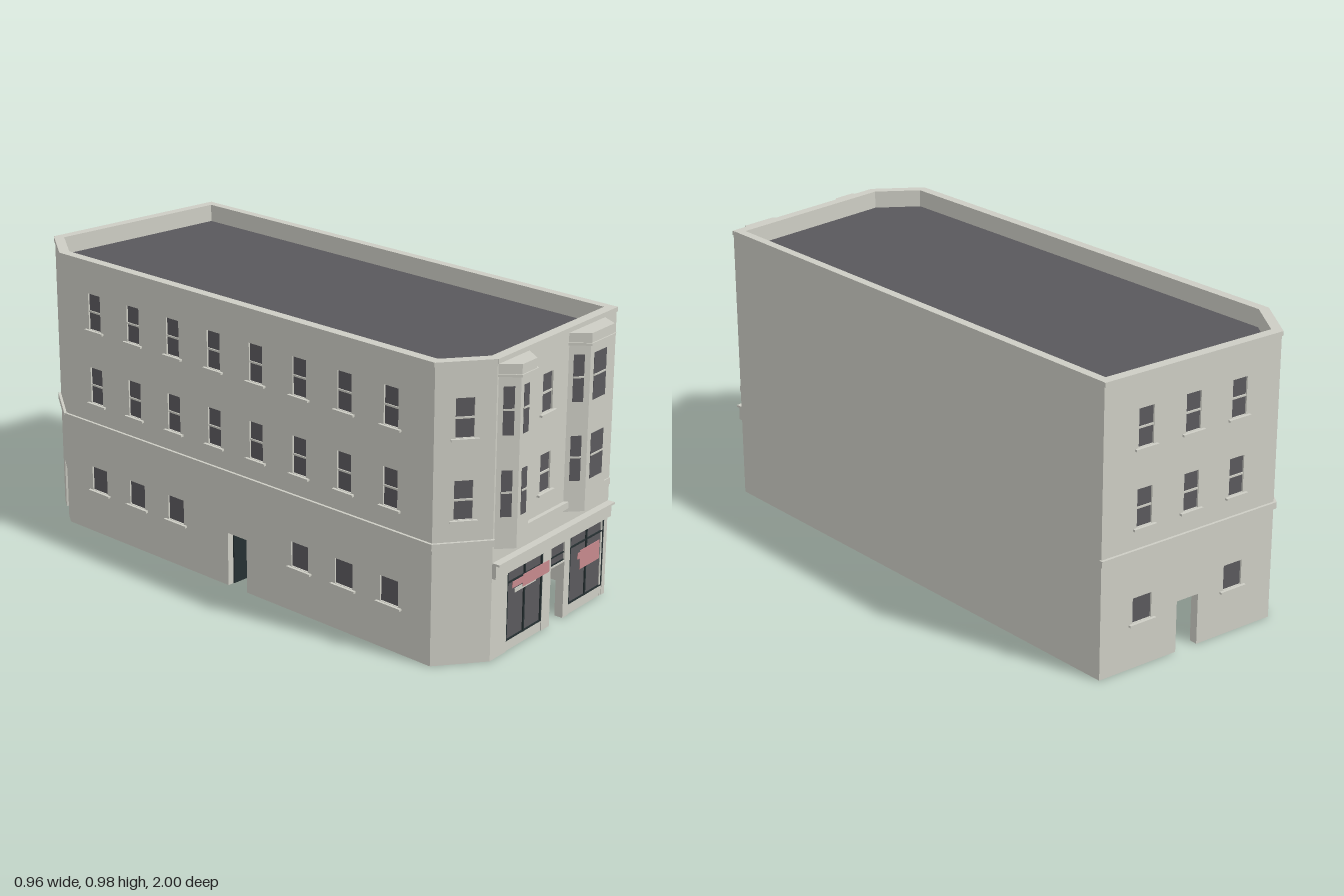
import * as THREE from 'three';

const mat = (name, color) => Object.assign(new THREE.MeshStandardMaterial({ color }), { name });

export function createModel() {
  const stone = mat('pale stone', 0xcdcdc4);
  const glass = mat('dark glass', 0x5a595d);
  const roofing = mat('dark roofing', 0x59585c);
  const frameMat = mat('shopfront frame', 0x263032);
  const pink = mat('pink sign', 0xc6898d);

  const model = new THREE.Group();
  model.name = 'cornerBuilding';
  const H = 0.975, SKIN = 0.01, CORE = 0.02;

  // footprint corners as [x, z]
  const A = [-0.205, -0.99], B = [0.477, -0.873], C = [0.318, 0.94];
  const D = [-0.33, 0.94], E = [-0.472, 0.818], F = [-0.335, -0.835];

  function add(parent, name, geometry, material) {
    const m = new THREE.Mesh(geometry, material);
    m.name = name;
    parent.add(m);
    return m;
  }
  // box given by its x and y ranges and its z range
  function slab(parent, name, material, x0, x1, y0, y1, z0, z1) {
    const m = add(parent, name, new THREE.BoxGeometry(x1 - x0, y1 - y0, z1 - z0), material);
    m.position.set((x0 + x1) / 2, (y0 + y1) / 2, (z0 + z1) / 2);
    return m;
  }
  // upright frame: local x runs P to Q as seen from outside, local z points outward
  function face(name, P, Q, parent = model) {
    const g = new THREE.Group();
    g.name = name;
    const dx = Q[0] - P[0], dz = Q[1] - P[1];
    g.position.set(P[0], 0, P[1]);
    g.rotation.y = Math.atan2(-dz, dx);
    g.userData.length = Math.hypot(dx, dz);
    parent.add(g);
    return g;
  }
  // horizontal polygon extruded upward
  function prism(parent, name, material, points, y0, y1) {
    const s = new THREE.Shape(points.map(([x, z]) => new THREE.Vector2(x, -z)));
    const geo = new THREE.ExtrudeGeometry(s, { depth: y1 - y0, bevelEnabled: false });
    geo.rotateX(-Math.PI / 2).translate(0, y0, 0);
    return add(parent, name, geo, material);
  }
  // one wall layer; openings are [x0, x1, y0, y1], those at ground level become notches
  function layer(g, name, openings, z0, depth) {
    const L = g.userData.length;
    const s = new THREE.Shape();
    s.moveTo(0, 0);
    openings.filter(o => o[2] === 0).sort((a, b) => a[0] - b[0]).forEach(([x0, x1, , y1]) => {
      s.lineTo(x0, 0); s.lineTo(x0, y1); s.lineTo(x1, y1); s.lineTo(x1, 0);
    });
    s.lineTo(L, 0); s.lineTo(L, H); s.lineTo(0, H);
    openings.filter(o => o[2] > 0).forEach(([x0, x1, y0, y1]) => {
      const h = new THREE.Path();
      h.moveTo(x0, y0); h.lineTo(x0, y1); h.lineTo(x1, y1); h.lineTo(x1, y0); h.closePath();
      s.holes.push(h);
    });
    add(g, name, new THREE.ExtrudeGeometry(s, { depth, bevelEnabled: false }), stone).position.z = z0;
  }
  // full wall with recessed windows and open doorways
  function wall(name, P, Q, { windows = [], doors = [], shops = [], coping = true, course = true } = {}) {
    const g = face(name, P, Q), L = g.userData.length;
    layer(g, 'outerSkin', [...windows, ...doors, ...shops], -SKIN, SKIN);
    layer(g, 'innerWall', doors, -SKIN - CORE, CORE);
    windows.forEach(([x0, x1, y0, y1]) => {
      slab(g, 'windowGlass', glass, x0, x1, y0, y1, -SKIN, -0.006);
      slab(g, 'windowSill', stone, x0 - 0.014, x1 + 0.014, y0 - 0.008, y0 - 0.001, -0.004, 0.01);
      if (y0 > 0.4) {
        const m = (y0 + y1) / 2;
        slab(g, 'sashRail', stone, x0, x1, m - 0.003, m + 0.003, -0.006, -0.002);
      }
    });
    doors.forEach(([x0, , , y1]) =>
      slab(g, 'openDoorLeaf', frameMat, x0 + 0.003, x0 + 0.008, 0.003, y1 - 0.003, -0.095, -0.02));
    if (coping) slab(g, 'coping', stone, -0.001, L + 0.001, 0.96, H, -0.005, 0.004);
    if (course) slab(g, 'stringCourse', stone, -0.004, L + 0.004, 0.383, 0.405, -0.005, 0.009);
    return g;
  }
  const pair = (u, w = 0.058) => [[0.475, 0.6], [0.735, 0.86]].map(([a, b]) => [u - w / 2, u + w / 2, a, b]);
  const small = u => [u - 0.037, u + 0.037, 0.155, 0.24];
  const door = (u, h = 0.175) => [u - 0.043, u + 0.043, 0, h];

  // side, back and corner walls
  wall('rightWall', C, B, { coping: false, course: false });
  const backL = Math.hypot(B[0] - A[0], B[1] - A[1]);
  wall('backWall', B, A, {
    windows: [...[0.235, 0.5, 0.765].flatMap(t => pair(t * backL)), small(0.235 * backL), small(0.765 * backL)],
    doors: [door(0.5 * backL)],
  });
  wall('backCornerWall', A, F, { doors: [door(0.1)] });
  const leftL = Math.hypot(E[0] - F[0], E[1] - F[1]);
  const bayAt = i => (0.098 + 0.1143 * i) * leftL;
  wall('leftWall', F, E, {
    windows: [0, 1, 2, 3, 4, 5, 6, 7].flatMap(i => pair(bayAt(i)))
      .concat([0, 1, 2, 5, 6, 7].map(i => small(bayAt(i)))),
    doors: [door(0.5 * leftL, 0.185)],
  });
  wall('frontCornerWall', E, D, { windows: pair(0.0935) });

  // front wall, measured from its left end
  const X = x => x - D[0];
  const shopSpans = [[-0.245, -0.05], [0.103, 0.3]];
  const front = wall('frontWall', D, C, {
    windows: pair(X(-0.058), 0.055),
    doors: [[X(-0.005), X(0.072), 0, 0.195]],
    shops: [...shopSpans.map(([a, b]) => [X(a), X(b), 0, 0.273]), [X(-0.005), X(0.072), 0.2, 0.273]],
    course: false,
  });

  // shop windows with frames
  shopSpans.forEach(([a, b]) => {
    const x0 = X(a), x1 = X(b), m = (x0 + x1) / 2;
    slab(front, 'shopGlass', glass, x0, x1, 0.035, 0.273, -SKIN, -0.006);
    slab(front, 'stallRiser', stone, x0, x1, 0, 0.034, -SKIN, -0.003);
    [x0 + 0.003, m, x1 - 0.003].forEach(x =>
      slab(front, 'shopMullion', frameMat, x - 0.003, x + 0.003, 0.034, 0.273, -0.007, -0.001));
    [0.036, 0.228, 0.271].forEach(y =>
      slab(front, 'shopTransom', frameMat, x0, x1, y - 0.0025, y + 0.0025, -0.007, -0.002));
  });
  slab(front, 'doorFanlight', glass, X(-0.005), X(0.072), 0.2, 0.273, -SKIN, -0.006);
  [0.202, 0.228].forEach(y =>
    slab(front, 'fanlightBar', frameMat, X(-0.005), X(0.072), y - 0.002, y + 0.002, -0.007, -0.003));

  // plain sign plates on the shop windows
  [[-0.165, -0.02, 0.193, 0.233, pink], [-0.222, -0.165, 0.207, 0.228, pink],
    [-0.205, -0.09, 0.186, 0.2, stone], [0.158, 0.27, 0.14, 0.205, pink],
    [0.143, 0.158, 0.178, 0.199, pink]].forEach(([a, b, c, d, m]) => {
    const z = m === pink ? 0.004 : 0.001;
    slab(front, 'signPlate', m, X(a), X(b), c, d, z - 0.002, z);
  });

  // fascia, ledge and string course between the bays
  slab(front, 'shopFascia', stone, 0, X(0.317), 0.275, 0.32, -0.002, 0.014);
  slab(front, 'fasciaLedge', stone, 0, X(0.317), 0.319, 0.326, -0.002, 0.026);
  slab(front, 'frontCourse', stone, X(-0.175), X(0.06), 0.383, 0.405, -0.002, 0.014);
  slab(front, 'frontCourseEnd', stone, X(0.245), X(0.317), 0.383, 0.405, -0.002, 0.004);

  // two projecting bays
  function bay(name, x0, x1, f0, f1, glassWidth) {
    const g = new THREE.Group();
    g.name = name;
    model.add(g);
    const zb = 0.938, zf = 0.988;
    const outline = (e, s) => [[x0 - s, zb], [x1 + s, zb], [f1 + e, zf + e], [f0 - e, zf + e]];
    prism(g, 'bayBody', stone, outline(0, 0), 0.37, 0.93);
    prism(g, 'bayMoulding', stone, outline(0.012, 0.004), 0.918, 0.926);
    prism(g, 'bayCap', stone, outline(0.008, 0.002), 0.926, 0.957);
    [[[x0, zb], [f0, zf], 0.034], [[f0, zf], [f1, zf], glassWidth], [[f1, zf], [x1, zb], 0.034]].forEach(([P, Q, w]) => {
      const s = face('bayFace', P, Q, g), m = s.userData.length / 2;
      [[0.473, 0.622], [0.733, 0.886]].forEach(([a, b]) => {
        const mid = (a + b) / 2 + 0.004;
        slab(s, 'bayGlass', glass, m - w / 2, m + w / 2, a, b, -0.002, 0.001);
        slab(s, 'baySashRail', stone, m - w / 2, m + w / 2, mid - 0.003, mid + 0.003, 0, 0.003);
      });
    });
  }
  bay('leftHandBay', -0.325, -0.165, -0.275, -0.215, 0.028);
  bay('rightHandBay', 0.05, 0.25, 0.1, 0.21, 0.07);

  // sunken roof and the ceiling beneath it
  const inset = [A, B, C, D, E, F].map(([x, z]) => [x * 0.97, z * 0.985]);
  prism(model, 'roof', roofing, inset, 0.9, 0.915);
  prism(model, 'ceiling', stone, inset, 0.89, 0.9);

  return model;
}
